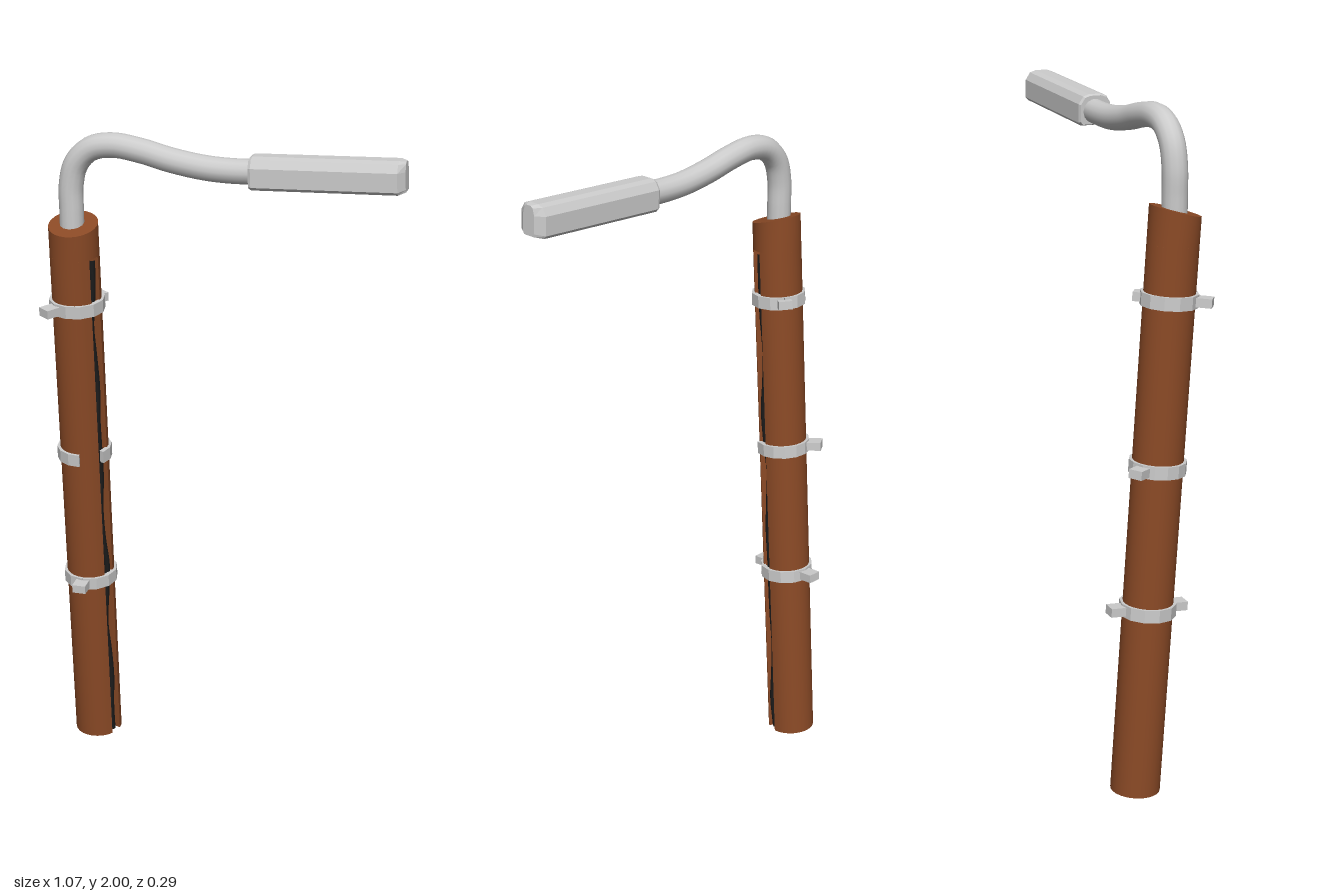
import * as THREE from 'three';
import { toCreasedNormals } from 'three/addons/utils/BufferGeometryUtils.js';

const V = (x, y, z) => new THREE.Vector3(x, y, z);
const paint = (color) => new THREE.MeshStandardMaterial({ color });
const metal = paint(0xcccccc);
const wood = paint(0x8b4a26);
const black = paint(0x1c1c1c);
const yellow = paint(0xd8b84a);

function add(parent, name, geometry, material) {
  const mesh = new THREE.Mesh(geometry, material);
  mesh.name = name;
  parent.add(mesh);
  return mesh;
}

const outline = (pts) => new THREE.Shape(pts.map(([x, y]) => new THREE.Vector2(x, y)));
const prism = (pts, depth) =>
  new THREE.ExtrudeGeometry(outline(pts), { depth, bevelEnabled: false });
const arc = (r, from, to, n) => Array.from({ length: n + 1 }, (_, i) => {
  const a = from + (to - from) * i / n;
  return [r * Math.cos(a), r * Math.sin(a)];
});

// Leaning wooden pole with a cable channel on one side
function buildPole() {
  const pole = new THREE.Group();
  pole.name = 'pole';
  const R = 0.073, channelTop = 1.63, top = 1.722;
  const facing = -0.34, half = 0.27, floor = 0.042;

  const section = arc(R, facing + half, facing + 2 * Math.PI - half, 24);
  const w = R * Math.sin(half);
  for (const side of [-1, 1]) {
    section.push([
      floor * Math.cos(facing) - side * w * Math.sin(facing),
      floor * Math.sin(facing) + side * w * Math.cos(facing),
    ]);
  }
  const shaft = prism(section, channelTop).rotateX(-Math.PI / 2);
  add(pole, 'shaft', toCreasedNormals(shaft, 0.6), wood);

  // Full round head, cut at a slant
  const head = new THREE.CylinderGeometry(R, R, top - channelTop, 28);
  head.translate(0, (top + channelTop) / 2, 0);
  const p = head.attributes.position;
  for (let i = 0; i < p.count; i++) {
    if (p.getY(i) > top - 0.01) p.setY(i, top - 0.21 * p.getZ(i));
  }
  add(pole, 'poleHead', toCreasedNormals(head.toNonIndexed(), 0.6), wood);

  // Wavy cable lying in the channel
  const path = [];
  for (let i = 0; i <= 16; i++) {
    const sway = 0.006 * Math.sin(i * 1.9);
    const r = 0.056 + 0.004 * Math.sin(i * 1.3);
    path.push(V(
      r * Math.cos(facing) + sway * Math.sin(facing),
      0.005 + i * 0.101,
      -r * Math.sin(facing) + sway * Math.cos(facing)));
  }
  add(pole, 'cable',
    new THREE.TubeGeometry(new THREE.CatmullRomCurve3(path), 64, 0.01, 6), black);
  return pole;
}

// Band clamp: main lug on +z, and either a second lug or an opening on -z
function buildClamp(gap, rearReach) {
  const clamp = new THREE.Group();
  clamp.name = 'clamp';
  const from = Math.PI / 2 + gap / 2, to = Math.PI * 2.5 - gap / 2;
  const band = prism([...arc(0.083, from, to, 12), ...arc(0.068, to, from, 12)], 0.038);
  add(clamp, 'band', band.rotateX(-Math.PI / 2).translate(0, -0.019, 0), metal);
  const lug = (name, reach, sign) => {
    const g = new THREE.BoxGeometry(0.042, 0.026, reach - 0.07);
    add(clamp, name, g.translate(0, 0, sign * (reach + 0.07) / 2), metal);
  };
  lug('frontLug', 0.122, 1);
  if (rearReach) lug('rearLug', rearReach, -1);
  return clamp;
}

// Lamp housing running along +x, open underneath over a light panel
function buildLamp() {
  const lamp = new THREE.Group();
  lamp.name = 'lamp';
  const upper = [[0.042, -0.045], [0.05, -0.036], [0.05, 0.018], [0.036, 0.04], [0.018, 0.046],
    [-0.018, 0.046], [-0.036, 0.04], [-0.05, 0.018], [-0.05, -0.036], [-0.042, -0.045]];
  const recess = [[-0.033, -0.045], [-0.033, -0.028], [0.033, -0.028], [0.033, -0.045]];
  const alongX = (pts, x0, x1) =>
    prism(pts, x1 - x0).rotateY(Math.PI / 2).translate(x0, 0, 0);
  add(lamp, 'housing', alongX([...upper, ...recess], 0.025, 0.405), metal);

  // End caps, narrowed toward their outer faces
  const endCap = (name, x0, x1, outer, sz, sy) => {
    const g = alongX(upper, x0, x1);
    const p = g.attributes.position;
    for (let i = 0; i < p.count; i++) {
      if (Math.abs(p.getX(i) - outer) < 1e-4) {
        p.setZ(i, p.getZ(i) * sz);
        p.setY(i, p.getY(i) * sy);
      }
    }
    g.computeVertexNormals();
    add(lamp, name, g, metal);
  };
  endCap('innerEnd', 0, 0.008, 0, 0.92, 0.92);
  add(lamp, 'innerBlock', alongX(upper, 0.008, 0.025), metal);
  add(lamp, 'outerBlock', alongX(upper, 0.405, 0.425), metal);
  endCap('outerEnd', 0.425, 0.443, 0.443, 0.45, 0.92);

  const panel = new THREE.BoxGeometry(0.38, 0.006, 0.05);
  add(lamp, 'lightPanel', panel.translate(0.215, -0.031, 0), yellow);
  return lamp;
}

export function createModel() {
  const model = new THREE.Group();
  model.name = 'streetLamp';

  const pole = buildPole();
  pole.position.set(-0.45, 0.005, -0.055);
  pole.rotation.x = 0.064;
  model.add(pole);

  // [height, turn, opening, rear lug reach]
  const clamps = [
    [1.475, -0.6, 0.02, 0.1],
    [0.993, -2.54, 0.95, 0],
    [0.567, Math.PI, 0.02, 0.118],
  ];
  for (const [y, turn, gap, rear] of clamps) {
    const clamp = buildClamp(gap, rear);
    clamp.position.y = y;
    clamp.rotation.y = turn;
    pole.add(clamp);
  }

  // Bent arm
  const arm = new THREE.CatmullRomCurve3([
    V(-0.455, 1.66, 0.05), V(-0.455, 1.76, 0.05), V(-0.454, 1.84, 0.05),
    V(-0.436, 1.905, 0.05), V(-0.39, 1.95, 0.05), V(-0.325, 1.964, 0.05),
    V(-0.24, 1.953, 0.049), V(-0.15, 1.932, 0.049), V(-0.05, 1.917, 0.048),
    V(0.03, 1.914, 0.048), V(0.11, 1.917, 0.048)]);
  add(model, 'arm', new THREE.TubeGeometry(arm, 48, 0.036, 14), metal);

  const lamp = buildLamp();
  lamp.position.set(0.085, 1.919, 0.05);
  lamp.rotation.z = 0.04;
  model.add(lamp);
  return model;
}
